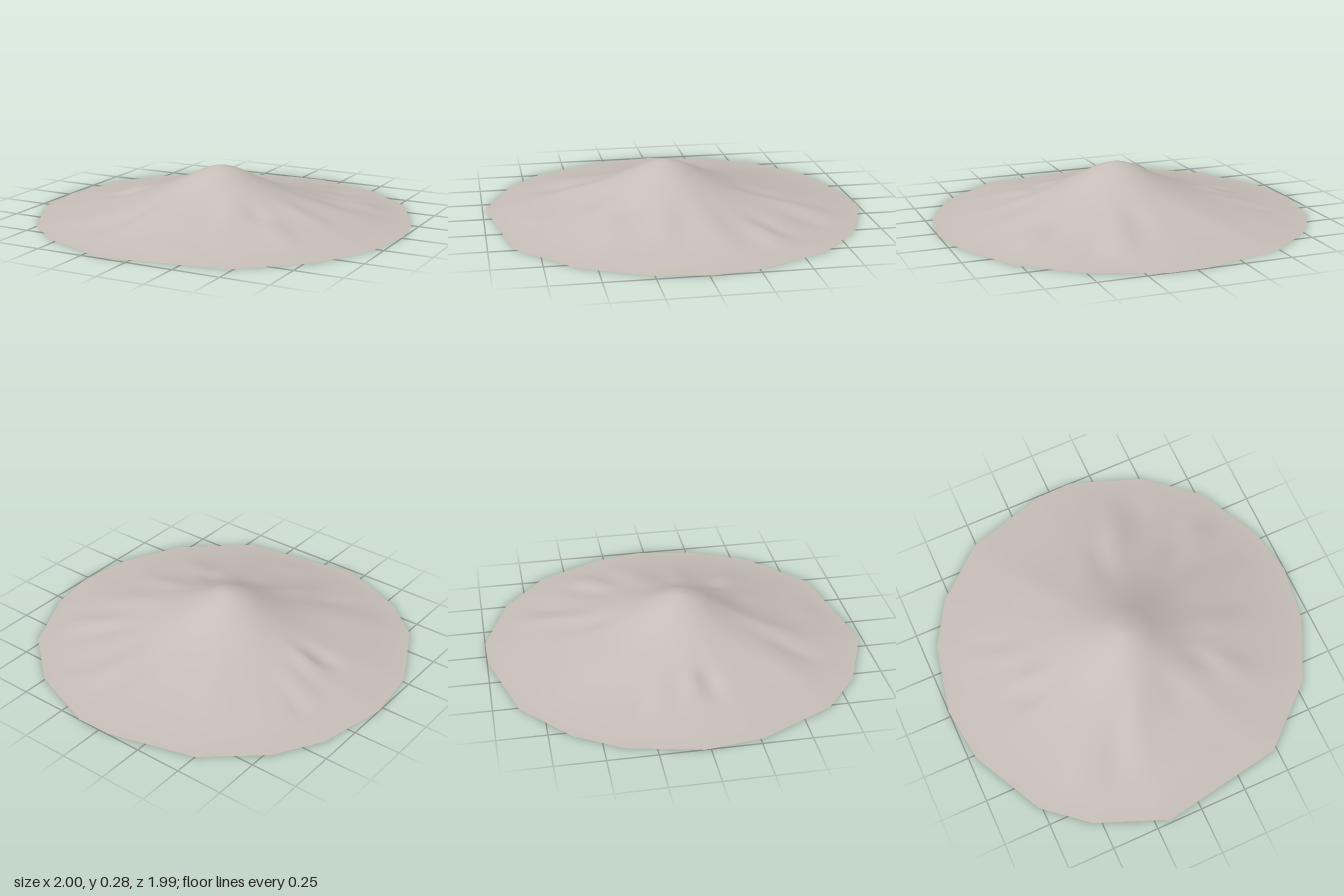
import * as THREE from 'three';

// Outline corners (x, z) of the mound's foot, clockwise from the back
const RIM = [
  [0.13, -1], [0.51, -0.86], [0.78, -0.63], [0.95, -0.29], [1, -0.03], [0.955, 0.27],
  [0.8, 0.59], [0.48, 0.875], [-0.17, 0.985], [-0.545, 0.835], [-0.765, 0.65],
  [-0.96, 0.27], [-1, -0.03], [-0.92, -0.4], [-0.78, -0.635], [-0.505, -0.87], [-0.06, -0.995],
];
const PEAK = { x: 0, z: 0.04 };

// Slope height at every tenth of the way from peak to foot
const SLOPE = [0.279, 0.256, 0.208, 0.162, 0.124, 0.094, 0.068, 0.046, 0.027, 0.011, 0];

// Ridges (+) and gullies (-): x, z, length along the slope, width, height
const FOLDS = [
  [0.23, -0.62, 0.2, 0.06, 0.016], [0.08, -0.45, 0.16, 0.06, -0.01], [0.4, -0.66, 0.16, 0.06, -0.012],
  [0.62, -0.38, 0.16, 0.06, 0.018], [0.5, -0.4, 0.14, 0.05, -0.012], [0.55, -0.1, 0.25, 0.09, 0.012],
  [0.5, 0.12, 0.16, 0.06, 0.012], [0.34, 0.3, 0.1, 0.05, -0.016], [0.46, 0.38, 0.14, 0.06, 0.012],
  [0.12, 0.4, 0.14, 0.08, -0.014], [0.1, 0.8, 0.12, 0.09, 0.008], [-0.14, 0.5, 0.18, 0.06, 0.014],
  [-0.3, 0.58, 0.15, 0.05, -0.012], [-0.45, 0.5, 0.18, 0.08, 0.01], [-0.55, -0.01, 0.09, 0.035, 0.014],
  [-0.57, 0.09, 0.1, 0.04, -0.016], [-0.62, -0.19, 0.14, 0.05, 0.011], [-0.68, -0.27, 0.12, 0.04, -0.01],
  [-0.3, -0.45, 0.2, 0.12, 0.006],
];

function slopeAt(t) {
  // Smooth cubic interpolation through the profile, level at the peak
  const f = Math.min(t, 1) * 10, i = Math.min(Math.floor(f), 9), u = f - i;
  const p = (k) => SLOPE[Math.min(Math.abs(k), 10)];
  const a = p(i - 1), b = p(i), c = p(i + 1), d = p(i + 2);
  return b + 0.5 * u * (c - a + u * (2 * a - 5 * b + 4 * c - d + u * (3 * (b - c) + d - a)));
}

function foldAt(x, z) {
  let sum = 0;
  for (const [fx, fz, length, width, height] of FOLDS) {
    const angle = Math.atan2(fz - PEAK.z, fx - PEAK.x);
    const dx = x - fx, dz = z - fz;
    const along = (dx * Math.cos(angle) + dz * Math.sin(angle)) / length;
    const across = (dz * Math.cos(angle) - dx * Math.sin(angle)) / width;
    sum += height * Math.exp(-along * along - across * across);
  }
  return sum;
}

function moundGeometry(rings, steps) {
  const columns = RIM.length * steps;
  const positions = [PEAK.x, SLOPE[0], PEAK.z], index = [];
  for (let r = 1; r <= rings; r++) {
    const t = r / rings;
    for (let c = 0; c < columns; c++) {
      // Point on a straight edge of the foot, pulled towards the peak
      const k = Math.floor(c / steps), u = (c % steps) / steps;
      const a = RIM[k], b = RIM[(k + 1) % RIM.length];
      const ex = a[0] + (b[0] - a[0]) * u - PEAK.x, ez = a[1] + (b[1] - a[1]) * u - PEAK.z;
      const x = PEAK.x + ex * t, z = PEAK.z + ez * t;
      // Round near the summit, following the outline near the foot
      const s = t * (Math.hypot(ex, ez) * (1 - t) + t);
      const fade = Math.min(1, (1 - t) * 5);
      positions.push(x, Math.max(0, slopeAt(s) + foldAt(x, z) * fade), z);

      const next = (c + 1) % columns;
      const outer = 1 + (r - 1) * columns, inner = outer - columns;
      if (r === 1) index.push(0, outer + next, outer + c);
      else index.push(inner + c, outer + next, outer + c, inner + c, inner + next, outer + next);
    }
  }
  const geometry = new THREE.BufferGeometry();
  geometry.setAttribute('position', new THREE.Float32BufferAttribute(positions, 3));
  geometry.setIndex(index);
  geometry.computeVertexNormals();
  return geometry;
}

export function createModel() {
  const model = new THREE.Group();
  model.name = 'mound';
  const stone = new THREE.MeshStandardMaterial({ color: 0xc6beb6, side: THREE.DoubleSide });
  stone.name = 'pale stone';

  // Open shell of the hill, hollow underneath
  const hill = new THREE.Mesh(moundGeometry(40, 6), stone);
  hill.name = 'hillside';
  model.add(hill);
  return model;
}
